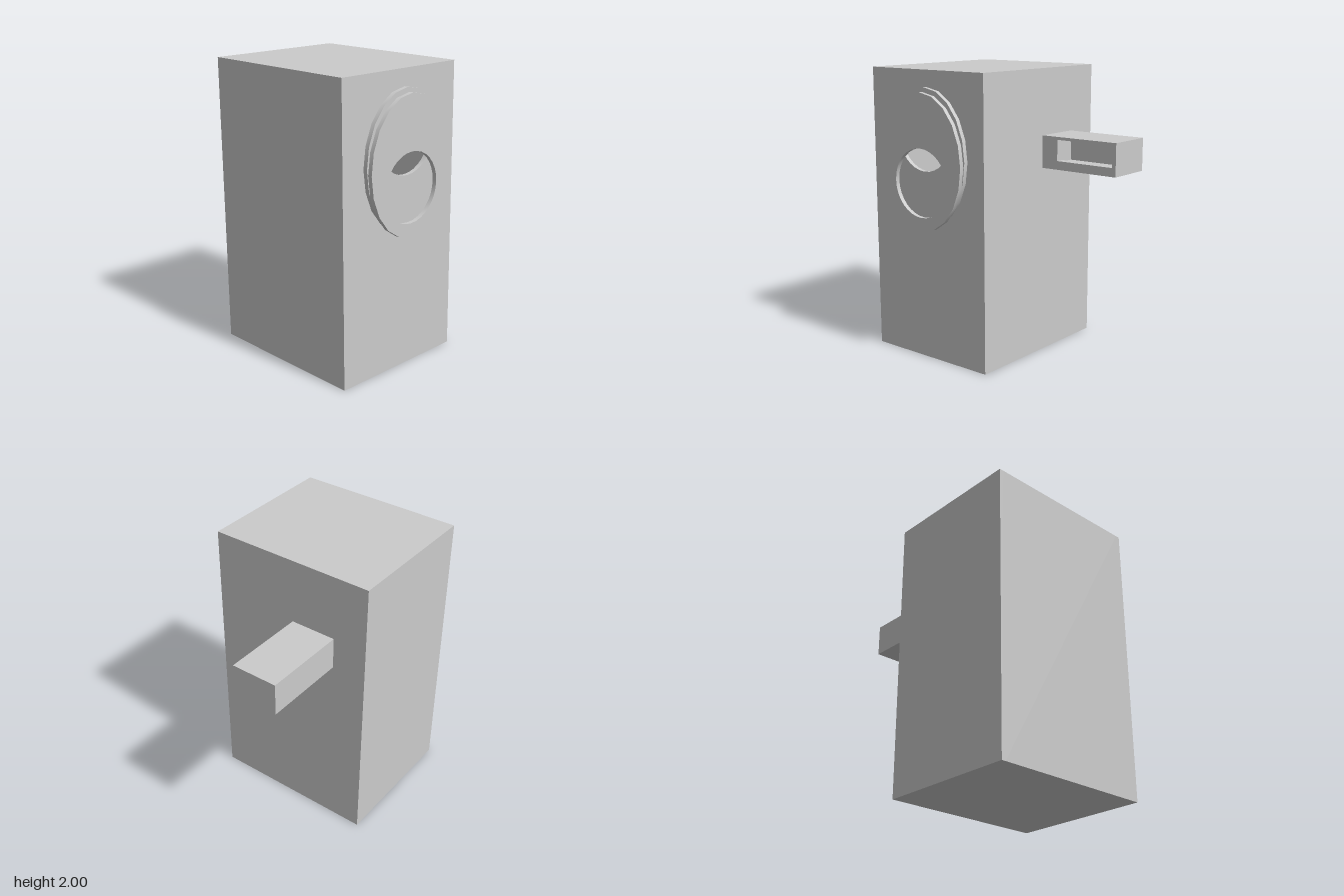
import * as THREE from 'three';
import { toCreasedNormals } from 'three/addons/utils/BufferGeometryUtils.js';

const material = new THREE.MeshStandardMaterial({ color: 0xcccccc });

// Corner points of a rectangle
function rect(x0, x1, y0, y1) {
  return [[x0, y0], [x1, y0], [x1, y1], [x0, y1]].map(([x, y]) => new THREE.Vector2(x, y));
}

// Points around an ellipse
function oval(cx, cy, rx, ry, sides) {
  return Array.from({ length: sides }, (_, i) => {
    const a = (i / sides) * Math.PI * 2;
    return new THREE.Vector2(cx + rx * Math.cos(a), cy + ry * Math.sin(a));
  });
}

// Flat panel with an optional hole, spanning z0 to z1
function panel(name, outline, hole, z0, z1) {
  const shape = new THREE.Shape(outline);
  if (hole) shape.holes.push(new THREE.Path(hole));
  const geometry = new THREE.ExtrudeGeometry(shape, { depth: z1 - z0, bevelEnabled: false });
  geometry.translate(0, 0, z0);
  const mesh = new THREE.Mesh(toCreasedNormals(geometry, 0.5), material);
  mesh.name = name;
  return mesh;
}

// Hollow box with an opening in its front wall
function hollowBox(name, [x0, x1, y0, y1, z0, z1], opening, wall, frontWall) {
  const group = new THREE.Group();
  group.name = name;
  const outer = rect(x0, x1, y0, y1);
  const inner = rect(x0 + wall, x1 - wall, y0 + wall, y1 - wall);
  group.add(
    panel(name + 'Back', outer, null, z0, z0 + wall),
    panel(name + 'Sides', outer, inner, z0 + wall, z1 - frontWall),
    panel(name + 'Front', outer, opening, z1 - frontWall, z1)
  );
  return group;
}

export function createModel() {
  const model = new THREE.Group();
  model.name = 'boxWithDiscs';
  const cx = -0.28;

  // Tall cabinet with a round opening behind the discs
  model.add(hollowBox('cabinet', [-0.8, 0.205, 0, 2, -0.635, 0.553],
    oval(cx, 1.41, 0.235, 0.235, 32), 0.03, 0.03));

  // Side arm with a window in its front
  model.add(hollowBox('sideArm', [0.205, 0.8, 1.32, 1.545, -0.39, -0.062],
    rect(0.33, 0.772, 1.38, 1.525), 0.02, 0.06));

  // Two oval discs, one upside down, whose off-centre holes overlap
  for (const [name, cy, holeShift, z] of [
    ['rearDisc', 1.424, 0.14, 0.565],
    ['frontDisc', 1.394, -0.14, 0.605],
  ]) {
    model.add(panel(name, oval(cx, cy, 0.357, 0.465, 20),
      oval(cx, cy + holeShift, 0.235, 0.235, 32), z, z + 0.03));
  }
  return model;
}
